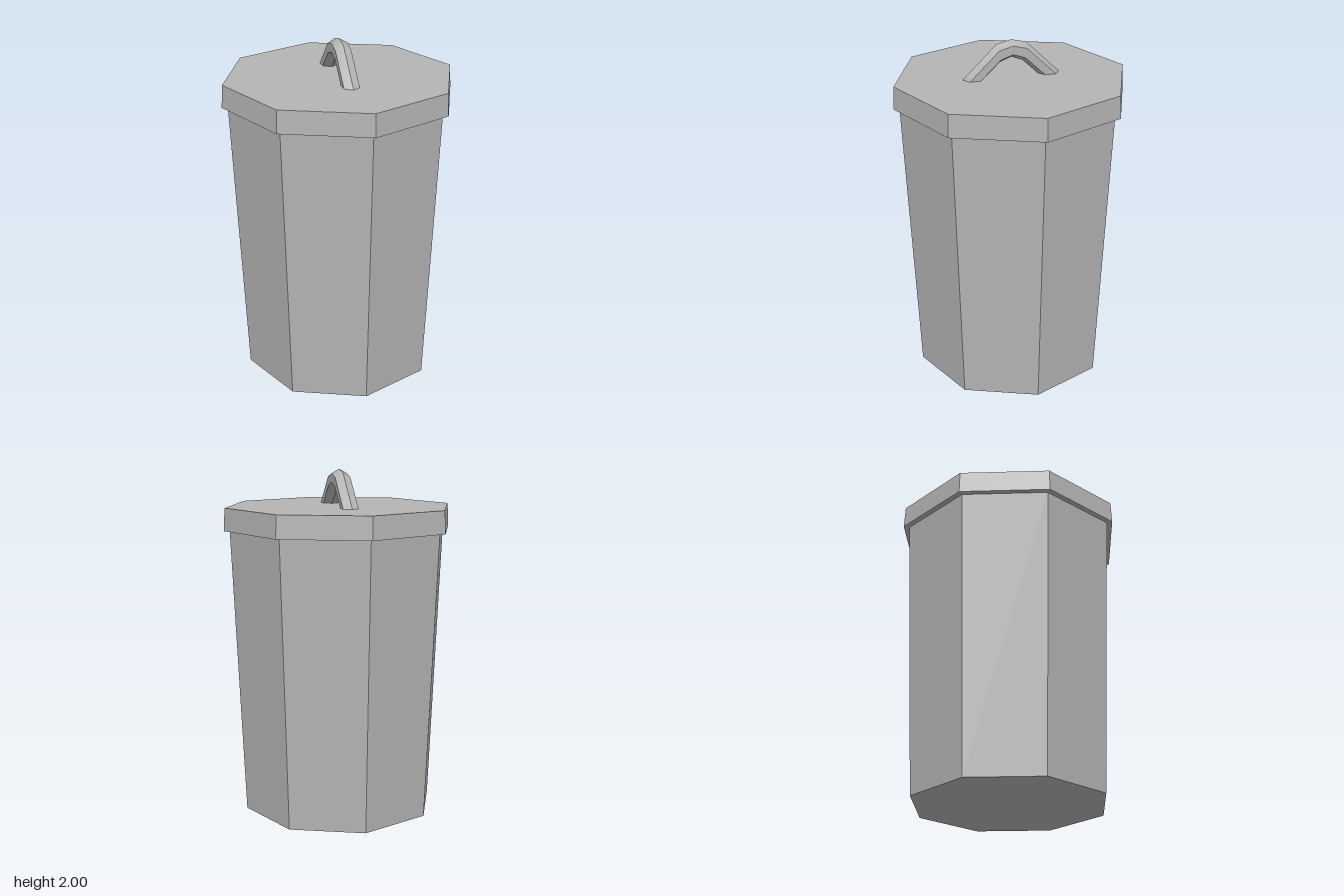
import * as THREE from 'three';
import { toCreasedNormals } from 'three/addons/utils/BufferGeometryUtils.js';

// Hexagonal bar arched along z; each station is [outer z, outer y, inner z, inner y]
function archedBar(stations, halfWidth) {
  const section = [[0, 0], [1, 0.25], [1, 0.75], [0, 1], [-1, 0.75], [-1, 0.25]];
  const n = section.length;
  const positions = [];
  const indices = [];
  for (const [oz, oy, iz, iy] of stations) {
    for (const [side, t] of section) {
      positions.push(side * halfWidth, oy + (iy - oy) * t, oz + (iz - oz) * t);
    }
  }
  for (let k = 0; k < stations.length - 1; k++) {
    for (let j = 0; j < n; j++) {
      const a = k * n + j;
      const b = k * n + (j + 1) % n;
      indices.push(a, a + n, b, b, a + n, b + n);
    }
  }
  const geometry = new THREE.BufferGeometry();
  geometry.setAttribute('position', new THREE.Float32BufferAttribute(positions, 3));
  geometry.setIndex(indices);
  return toCreasedNormals(geometry, 0.8);
}

export function createModel() {
  const group = new THREE.Group();
  group.name = 'trashCan';
  const metal = new THREE.MeshStandardMaterial({ color: 0xb4b4b4 });
  metal.name = 'grey metal';

  const add = (name, geometry, y = 0) => {
    const mesh = new THREE.Mesh(geometry, metal);
    mesh.name = name;
    mesh.position.y = y;
    group.add(mesh);
  };

  // Eight-sided drum with a corner on each axis
  const drum = (top, bottom, height) =>
    toCreasedNormals(new THREE.CylinderGeometry(top, bottom, height, 8), 0.3);

  // Tapered body and overhanging lid
  add('body', drum(0.641, 0.57, 1.66), 0.83);
  add('lid', drum(0.668, 0.675, 0.13), 1.725);

  // Handle: one half of the arch, mirrored front to back, feet sunk into the lid
  const half = [
    [0.085, 1.98, 0.065, 1.875],
    [0.305, 1.766, 0.18, 1.766],
  ];
  const mirrored = half.map(([oz, oy, iz, iy]) => [-oz, oy, -iz, iy]).reverse();
  add('lidHandle', archedBar([...mirrored, [0, 2, 0, 1.9], ...half], 0.045));

  return group;
}
